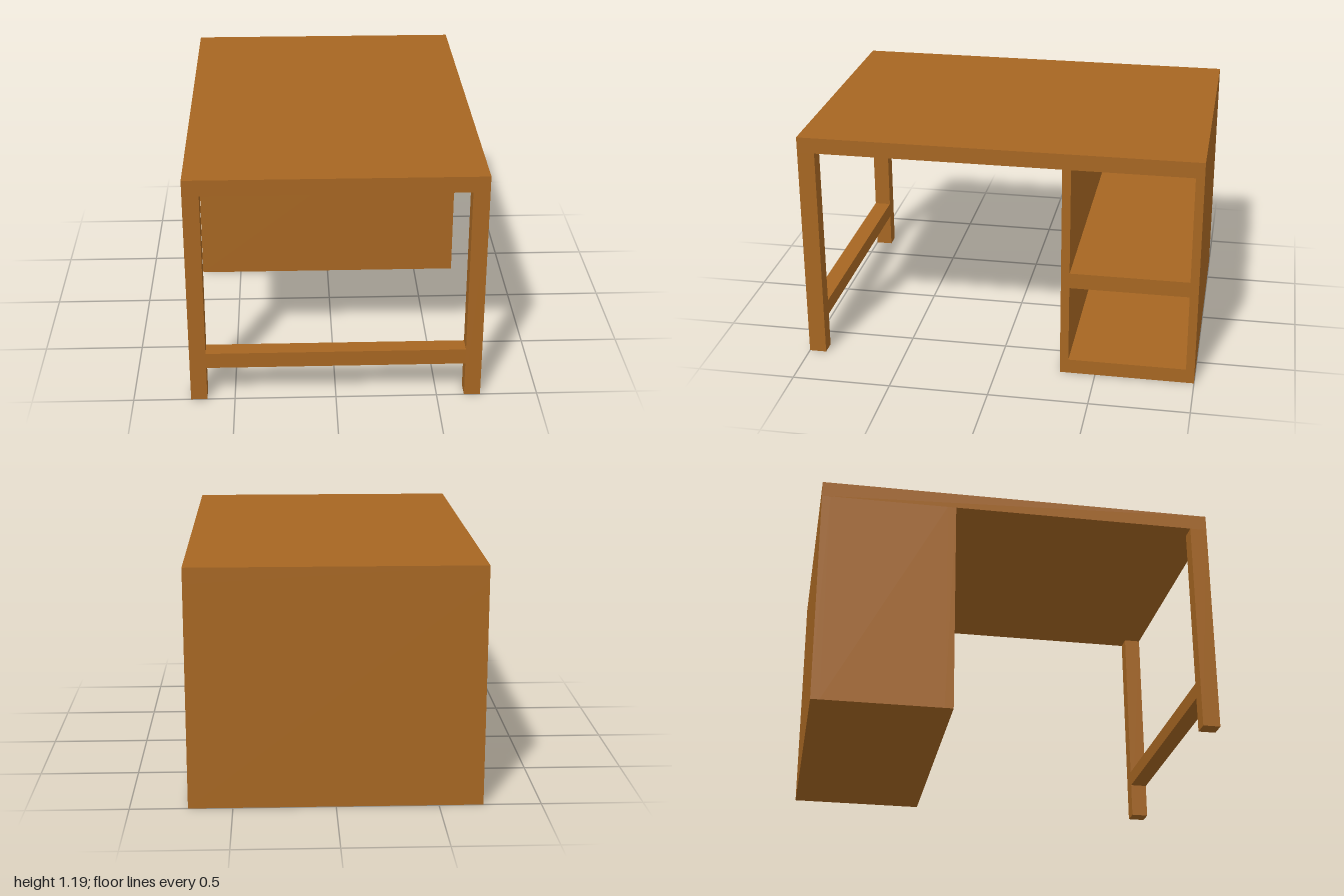
import * as THREE from 'three';

export function createModel() {
  const desk = new THREE.Group();
  desk.name = 'desk';
  const wood = new THREE.MeshStandardMaterial({ color: 0xa66622 });

  // Box given by its extents on each axis
  function board(name, [x0, x1], [y0, y1], [z0, z1], parent = desk) {
    const mesh = new THREE.Mesh(new THREE.BoxGeometry(x1 - x0, y1 - y0, z1 - z0), wood);
    mesh.position.set((x0 + x1) / 2, (y0 + y1) / 2, (z0 + z1) / 2);
    mesh.name = name;
    parent.add(mesh);
  }

  const W = 0.717, H = 1.19, under = 1.11; // half width, height, underside of top
  const legX = 0.637, legZ = [0.913, 1];

  // Table top
  board('tableTop', [-W, W], [under, H], [-1, 1]);

  // Front leg frame
  board('leftLeg', [legX, W], [0, under], legZ);
  board('rightLeg', [-W, -legX], [0, under], legZ);
  board('stretcher', [-legX, legX], [0.18, 0.26], legZ);

  // Rear cabinet, open on the +x side
  const cabinet = new THREE.Group();
  cabinet.name = 'cabinet';
  desk.add(cabinet);
  const inX = [-W + 0.043, W], inZ = [-0.957, -0.363];
  board('cabinetInnerWall', [-W, W], [0, under], [inZ[1], -0.32], cabinet);
  board('cabinetOuterWall', [-W, W], [0, under], [-1, inZ[0]], cabinet);
  board('cabinetBackPanel', [-W, inX[0]], [0, under], inZ, cabinet);
  board('cabinetFloor', inX, [0, 0.075], inZ, cabinet);
  board('cabinetShelf', inX, [0.48, 0.56], inZ, cabinet);

  return desk;
}
